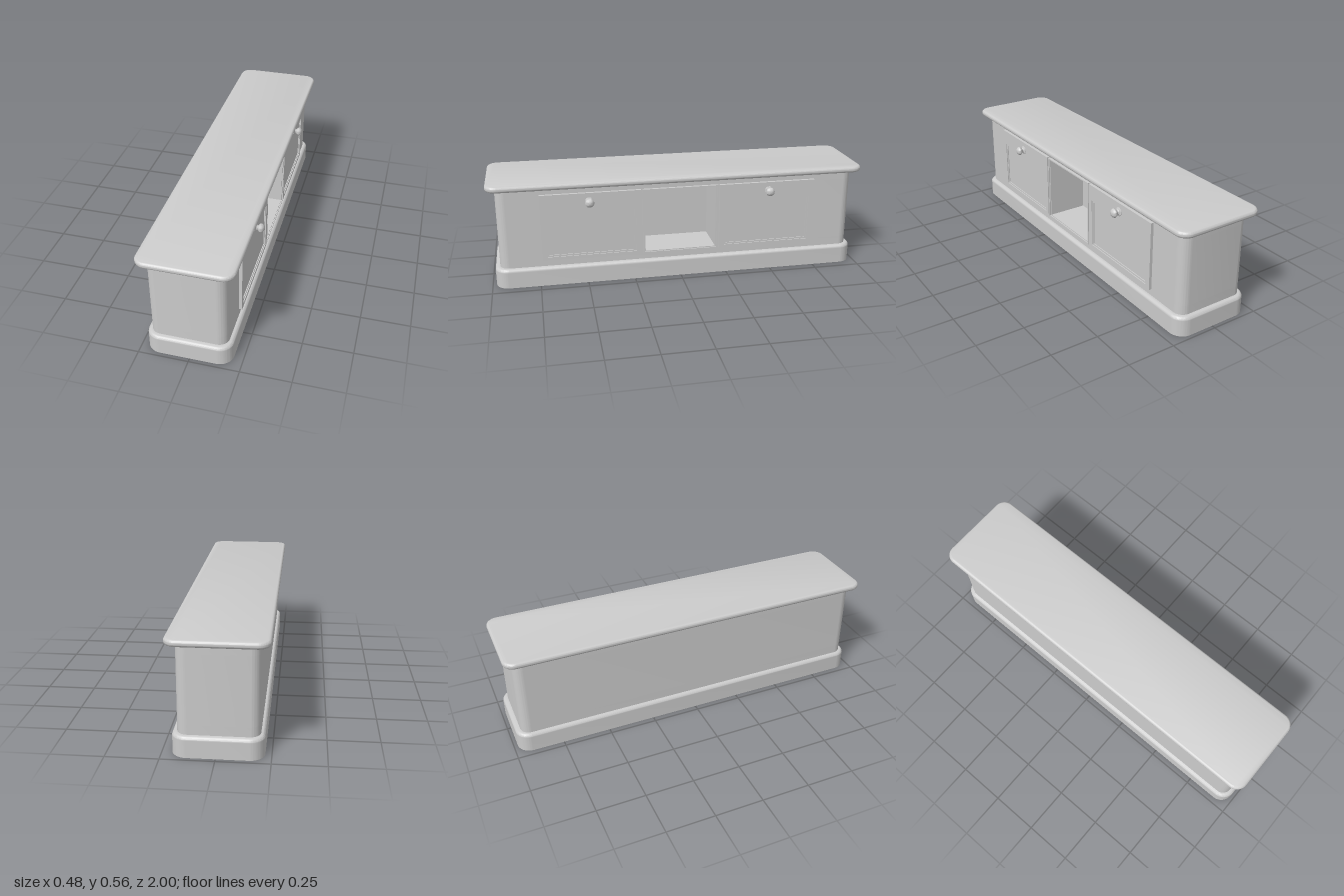
import * as THREE from 'three';
import { toCreasedNormals } from 'three/addons/utils/BufferGeometryUtils.js';

const material = new THREE.MeshStandardMaterial({ color: 0xcccccc });

function add(parent, name, geometry) {
  const mesh = new THREE.Mesh(toCreasedNormals(geometry, 0.6), material);
  mesh.name = name;
  parent.add(mesh);
  return mesh;
}

// Plan outline with rounded corners; an optional notch opens the +x side
function plan(x0, x1, halfZ, r, notch) {
  const s = new THREE.Shape();
  s.moveTo(x0 + r, -halfZ);
  s.lineTo(x1 - r, -halfZ);
  s.absarc(x1 - r, -halfZ + r, r, -Math.PI / 2, 0, false);
  if (notch) {
    s.lineTo(x1, -notch.halfZ);
    s.lineTo(notch.x, -notch.halfZ);
    s.lineTo(notch.x, notch.halfZ);
    s.lineTo(x1, notch.halfZ);
  }
  s.absarc(x1 - r, halfZ - r, r, 0, Math.PI / 2, false);
  s.absarc(x0 + r, halfZ - r, r, Math.PI / 2, Math.PI, false);
  s.absarc(x0 + r, -halfZ + r, r, Math.PI, Math.PI * 1.5, false);
  return s;
}

// Horizontal slab from y0 to y1, with rounded rims when bevel > 0
function slab(shape, y0, y1, bevel = 0) {
  const g = new THREE.ExtrudeGeometry(shape, {
    depth: y1 - y0 - 2 * bevel, curveSegments: 10,
    bevelEnabled: bevel > 0, bevelThickness: bevel, bevelSize: bevel,
    bevelOffset: -bevel, bevelSegments: 5,
  });
  g.rotateX(-Math.PI / 2);
  g.translate(0, y0 + bevel, 0);
  return g;
}

function rectangle(path, w, y0, y1) {
  path.moveTo(-w, y0);
  path.lineTo(w, y0);
  path.lineTo(w, y1);
  path.lineTo(-w, y1);
  path.closePath();
  return path;
}

// Rectangular frame facing +x: outer and inner are [half width, bottom, top]
function frame(outer, inner, x0, x1) {
  const s = rectangle(new THREE.Shape(), ...outer);
  s.holes.push(rectangle(new THREE.Path(), ...inner));
  const g = new THREE.ExtrudeGeometry(s, { depth: x1 - x0, bevelEnabled: false });
  g.rotateY(Math.PI / 2);
  g.translate(x0, 0, 0);
  return g;
}

// Turned knob pointing to +x
function knobGeometry() {
  const profile = [[0, 0], [0.023, 0], [0.023, 0.003], [0.014, 0.007], [0.011, 0.012],
    [0.014, 0.016], [0.021, 0.022], [0.0235, 0.029], [0.021, 0.036], [0.013, 0.043], [0, 0.046]];
  const g = new THREE.LatheGeometry(profile.map(p => new THREE.Vector2(...p)), 20);
  g.rotateZ(-Math.PI / 2);
  return g;
}

export function createModel() {
  const model = new THREE.Group();
  model.name = 'lowCabinet';

  // Plinth with a rounded upper rim
  const plinth = plan(-0.22, 0.203, 0.98, 0.07);
  add(model, 'plinth', slab(plinth, 0, 0.083));
  add(model, 'plinthRim', slab(plinth, 0.063, 0.103, 0.018));

  // Carcass in three layers, the middle one notched for the open niche
  const y0 = 0.15, y1 = 0.487, nicheHalf = 0.19;
  const solid = plan(-0.2, 0.18, 0.955, 0.05);
  const open = plan(-0.2, 0.18, 0.955, 0.05, { x: -0.025, halfZ: nicheHalf });
  add(model, 'carcassBottom', slab(solid, 0.1, y0));
  add(model, 'carcassMiddle', slab(open, y0, y1));
  add(model, 'carcassHeader', slab(solid, y1, 0.535));

  // Overhanging top board with a rounded edge
  add(model, 'topBoard', slab(plan(-0.243, 0.225, 1, 0.06), 0.53, 0.562, 0.014));

  // Frame and bead around the niche opening
  add(model, 'nicheFrame', frame([0.203, 0.138, 0.497], [0.196, 0.145, 0.491], 0.18, 0.194));
  add(model, 'nicheBead', frame([0.196, 0.145, 0.491], [nicheHalf, y0, y1], 0.18, 0.188));

  // Pair of doors with sunk panels and knobs
  for (const side of [1, -1]) {
    const door = new THREE.Group();
    door.name = side > 0 ? 'leftDoor' : 'rightDoor';
    door.position.z = side * 0.473;
    add(door, 'doorFrame', frame([0.262, 0.138, 0.497], [0.234, 0.156, 0.413], 0.18, 0.195));
    add(door, 'panelMoulding', frame([0.234, 0.156, 0.413], [0.225, 0.165, 0.404], 0.18, 0.19));
    const panel = add(door, 'doorPanel', new THREE.BoxGeometry(0.006, 0.239, 0.45));
    panel.position.set(0.182, 0.2845, 0);
    const knob = add(door, 'knob', knobGeometry());
    knob.position.set(0.195, 0.451, side * 0.007);
    model.add(door);
  }
  return model;
}
